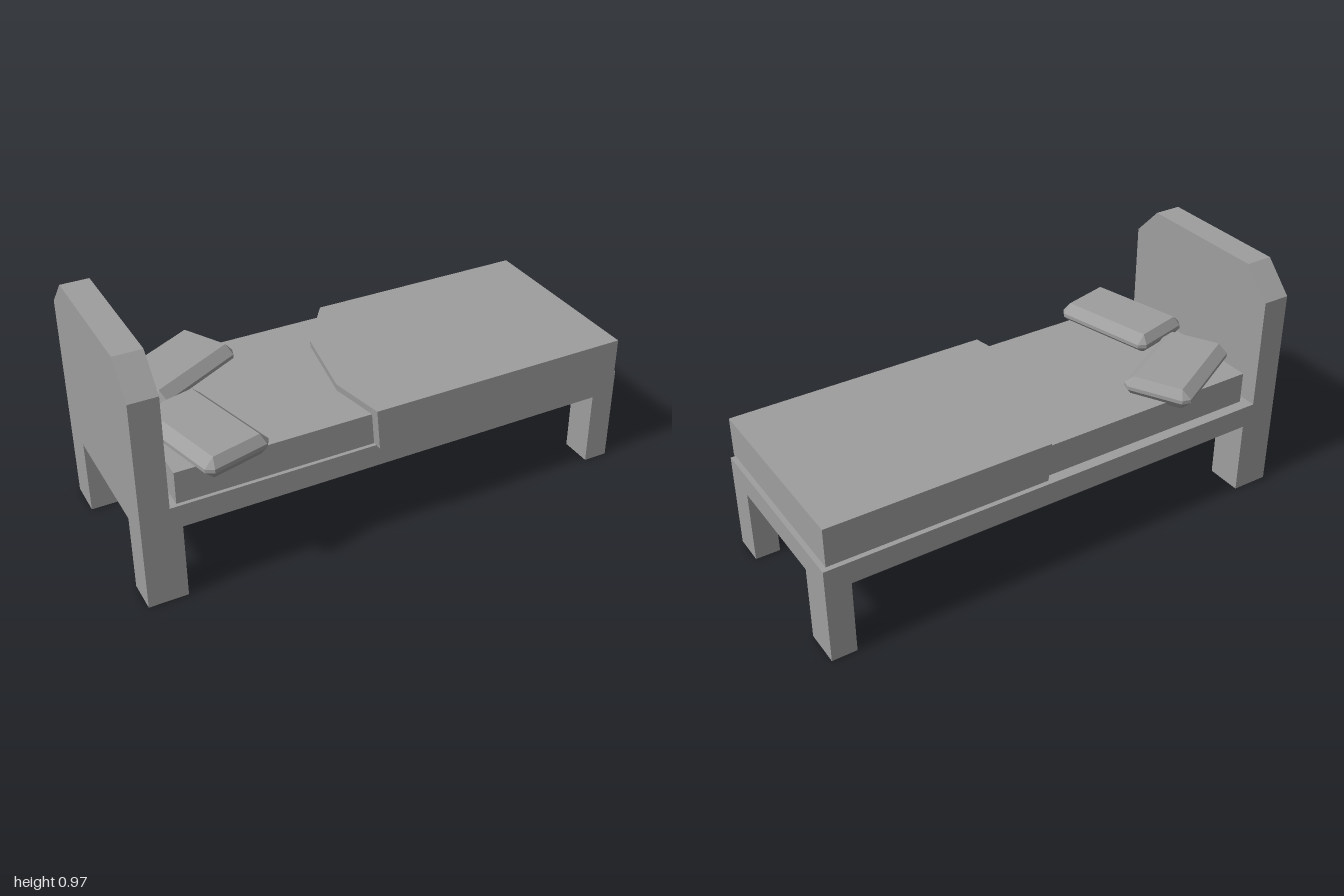
import * as THREE from 'three';
import { ConvexGeometry } from 'three/addons/geometries/ConvexGeometry.js';

const material = new THREE.MeshStandardMaterial({ color: 0x9e9e9e, flatShading: true });

function addMesh(parent, name, geometry) {
  const mesh = new THREE.Mesh(geometry, material);
  mesh.name = name;
  parent.add(mesh);
  return mesh;
}

// Box given by its extents along each axis
function addBox(parent, name, [x0, x1], [y0, y1], [z0, z1]) {
  const geometry = new THREE.BoxGeometry(x1 - x0, y1 - y0, z1 - z0);
  geometry.translate((x0 + x1) / 2, (y0 + y1) / 2, (z0 + z1) / 2);
  return addMesh(parent, name, geometry);
}

// Prism from an outline of [a, b] points
function extrude(points, depth) {
  const shape = new THREE.Shape(points.map(([a, b]) => new THREE.Vector2(a, b)));
  return new THREE.ExtrudeGeometry(shape, { depth, bevelEnabled: false });
}

// Pillow: smaller top and bottom faces around a wider band with cut corners
function addPillow(parent, name, x, z, angle) {
  const points = [];
  for (const sx of [-1, 1]) {
    for (const sz of [-1, 1]) {
      for (const sy of [-1, 1]) {
        points.push(
          new THREE.Vector3(sx * 0.195, sy * 0.0425, sz * 0.1),
          new THREE.Vector3(sx * 0.22, sy * 0.0075, sz * 0.112),
          new THREE.Vector3(sx * 0.195, sy * 0.0075, sz * 0.137),
        );
      }
    }
  }
  const pillow = addMesh(parent, name, new ConvexGeometry(points));
  pillow.position.set(x, 0.5575, z);
  pillow.rotation.y = THREE.MathUtils.degToRad(angle);
}

export function createModel() {
  const bed = new THREE.Group();
  bed.name = 'bed';

  // Frame slab and four legs, thicker at the head
  addBox(bed, 'frame', [-1, 1], [0.308, 0.4], [-0.42, 0.365]);
  for (const [end, xs] of [['head', [-1, -0.848]], ['foot', [0.9, 1]]]) {
    addBox(bed, end + 'LegFront', xs, [0, 0.308], [0.235, 0.365]);
    addBox(bed, end + 'LegBack', xs, [0, 0.308], [-0.42, -0.27]);
  }

  // Headboard with cut upper corners, outline in [z, y]
  const headboard = extrude(
    [[-0.42, 0.4], [0.365, 0.4], [0.365, 0.855], [0.25, 0.973], [-0.305, 0.973], [-0.42, 0.855]],
    0.11,
  );
  headboard.rotateY(-Math.PI / 2).translate(-0.89, 0, 0);
  addMesh(bed, 'headboard', headboard);

  addBox(bed, 'mattress', [-0.86, 0.96], [0.4, 0.53], [-0.375, 0.35]);

  // Blanket with an uneven turned edge, outline in [x, -z]
  const blanket = extrude(
    [[0.98, -0.382], [0.98, 0.4], [0.07, 0.4], [-0.085, 0.18], [-0.14, -0.15], [-0.095, -0.382]],
    0.164,
  );
  blanket.rotateX(-Math.PI / 2).translate(0, 0.394, 0);
  // The turned edge slopes in slightly towards the bottom
  const p = blanket.attributes.position;
  for (let i = 0; i < p.count; i++) {
    if (p.getY(i) < 0.4 && p.getX(i) < 0.1) p.setX(i, p.getX(i) + 0.013);
  }
  blanket.computeVertexNormals();
  addMesh(bed, 'blanket', blanket);

  addPillow(bed, 'backPillow', -0.632, -0.238, 29);
  addPillow(bed, 'frontPillow', -0.693, 0.203, -75.5);

  return bed;
}
